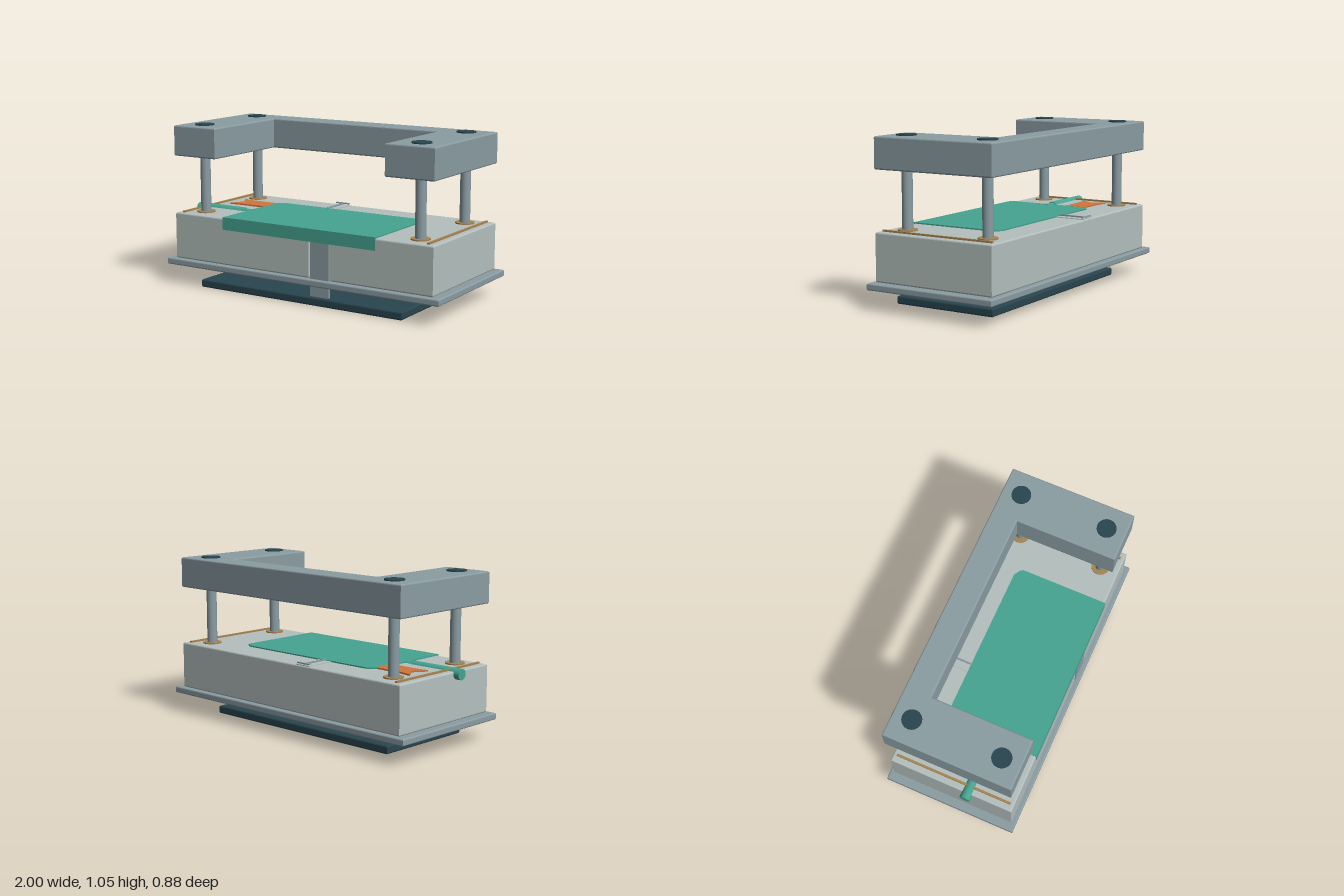
import * as THREE from 'three';

const material = (name, color) => {
  const m = new THREE.MeshStandardMaterial({ color });
  m.name = name;
  return m;
};

export function createModel() {
  const steel = material('steel grey', 0x8b9da3);
  const pale = material('pale grey', 0xb4c0be);
  const dark = material('dark slate', 0x29454f);
  const green = material('sea green', 0x45a490);
  const orange = material('orange', 0xd0753c);
  const brass = material('brass', 0xa88450);

  const model = new THREE.Group();
  const add = (name, geometry, mat, x = 0, y = 0, z = 0) => {
    const mesh = new THREE.Mesh(geometry, mat);
    mesh.name = name;
    mesh.position.set(x, y, z);
    model.add(mesh);
    return mesh;
  };

  // Outline in plan (x, z), raised from y0 to y1 with optionally rounded edges
  const slab = (name, shape, y0, y1, mat, bevel = 0) => {
    const geometry = new THREE.ExtrudeGeometry(shape, {
      depth: y1 - y0 - 2 * bevel,
      bevelEnabled: bevel > 0,
      bevelSize: bevel,
      bevelThickness: bevel,
      bevelOffset: -bevel,
      bevelSegments: 3,
      curveSegments: 24,
    });
    geometry.rotateX(-Math.PI / 2);
    return add(name, geometry, mat, 0, y0 + bevel, 0);
  };
  const plan = (points) => new THREE.Shape(points.map(([x, z]) => new THREE.Vector2(x, -z)));
  const rect = (x0, x1, z0, z1) => plan([[x0, z1], [x1, z1], [x1, z0], [x0, z0]]);
  const box = (name, x0, x1, y0, y1, z0, z1, mat) =>
    add(name, new THREE.BoxGeometry(x1 - x0, y1 - y0, z1 - z0), mat,
      (x0 + x1) / 2, (y0 + y1) / 2, (z0 + z1) / 2);
  const cylinder = (name, r, y0, y1, x, z, mat) =>
    add(name, new THREE.CylinderGeometry(r, r, y1 - y0, 40), mat, x, (y0 + y1) / 2, z);

  // Foot plate and flange
  slab('footPlate', rect(-0.743, 0.743, -0.28, 0.41), 0, 0.052, dark, 0.01);
  slab('basePlate', rect(-1, 1, -0.44, 0.44), 0.128, 0.17, steel, 0.008);

  // Main block with a half-round groove in its front
  const grooveX = 0.168;
  const block = new THREE.Shape();
  block.moveTo(-0.947, -0.41);
  block.lineTo(grooveX - 0.078, -0.41);
  block.absarc(grooveX, -0.41, 0.078, Math.PI, 0, true);
  block.lineTo(0.947, -0.41);
  block.lineTo(0.947, 0.41);
  block.lineTo(-0.947, 0.41);
  slab('mainBlock', block, 0.17, 0.473, pale, 0.01);

  // Half-round pin in the groove, and the full pin under the base
  const halfPin = new THREE.Shape();
  halfPin.absarc(grooveX, -0.412, 0.067, 0, Math.PI, false);
  slab('frontPin', halfPin, 0.06, 0.465, steel);
  cylinder('centrePin', 0.065, 0.06, 0.135, -0.3, -0.012, steel);

  // Upper yoke, open at the front
  slab('upperYoke', plan([
    [-0.947, 0.41], [-0.622, 0.41], [-0.622, -0.24], [0.622, -0.24],
    [0.622, 0.41], [0.947, 0.41], [0.947, -0.41], [-0.947, -0.41],
  ]), 0.845, 1.042, steel, 0.009);

  // Guide posts with collars and caps, and side rails
  for (const x of [-0.795, 0.795]) {
    for (const z of [-0.287, 0.285]) {
      cylinder('guidePost', 0.033, 0.46, 0.835, x, z, steel);
      cylinder('postCollar', 0.06, 0.465, 0.481, x, z, brass);
      cylinder('postCap', 0.061, 1.03, 1.05, x, z, dark);
    }
    const railX = Math.sign(x) * 0.9;
    box('sideRail', railX - 0.007, railX + 0.007, 0.465, 0.484, -0.386, 0.386, brass);
  }

  // Folded sheet with clipped back corners
  slab('sheet', plan([
    [-0.563, 0.414], [0.563, 0.414], [0.563, -0.165], [0.55, -0.185], [0.51, -0.21],
    [-0.51, -0.21], [-0.55, -0.185], [-0.563, -0.165],
  ]), 0.472, 0.481, green);
  box('sheetFlap', -0.563, 0.563, 0.4, 0.481, 0.405, 0.414, green);

  // Side plug and its thinner stem
  const plug = (name, r, x0, x1) => {
    const mesh = add(name, new THREE.CylinderGeometry(r, r, x1 - x0, 32), green, (x0 + x1) / 2, 0.457, 0.112);
    mesh.rotation.z = Math.PI / 2;
  };
  plug('sidePlug', 0.034, -0.985, -0.61);
  plug('plugStem', 0.028, -0.615, -0.54);

  // Swallow-tailed tab
  slab('tab', plan([
    [-0.55, -0.168], [-0.74, -0.168], [-0.83, -0.185], [-0.775, -0.1],
    [-0.83, -0.018], [-0.74, -0.027], [-0.55, -0.027],
  ]), 0.472, 0.482, orange);

  // Rear inlay with a T-shaped clip
  box('rearInlay', -0.225, -0.115, 0.468, 0.477, -0.405, -0.2, pale);
  box('clipStem', -0.175, -0.165, 0.472, 0.486, -0.395, -0.2, steel);
  box('clipBar', -0.222, -0.118, 0.482, 0.489, -0.403, -0.388, steel);

  return model;
}
